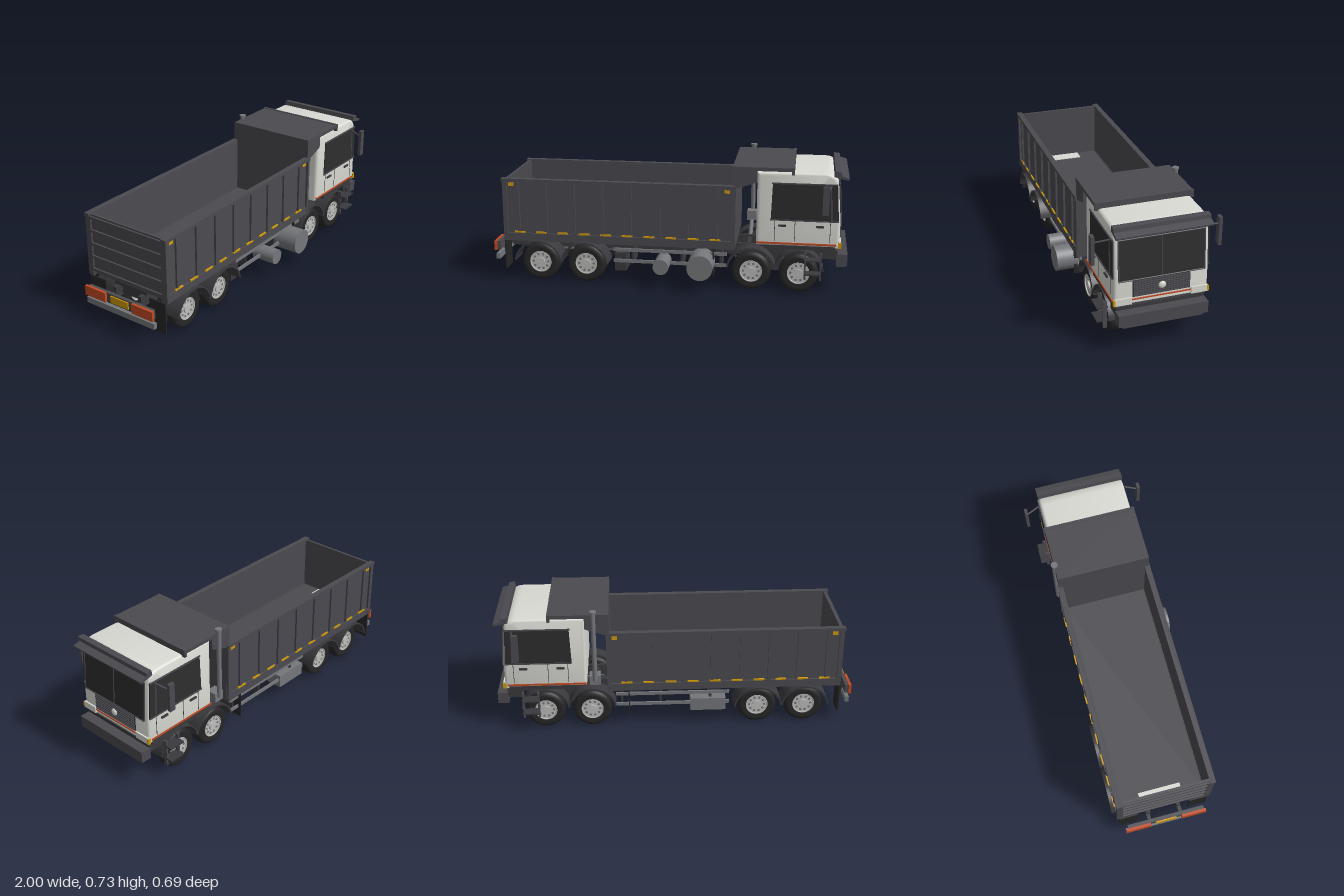
import * as THREE from 'three';
import { toCreasedNormals } from 'three/addons/utils/BufferGeometryUtils.js';

const material = (name, color, side = THREE.FrontSide) => {
  const m = new THREE.MeshStandardMaterial({ color, side });
  m.name = name;
  return m;
};

export function createModel() {
  const truck = new THREE.Group();
  truck.name = 'dumpTruck';
  const body = material('bodyGrey', 0x4b4a50);
  const chassis = material('chassisDark', 0x3a3a3e);
  const glass = material('darkGlass', 0x2e2e2f);
  const cream = material('cabCream', 0xdadad4);
  const steel = material('steel', 0x74767a);
  const rubber = material('rubber', 0x262627);
  const rimGrey = material('rimGrey', 0xbdbdbb);
  const amber = material('amber', 0xd29a08);
  const red = material('orangeRed', 0xc24a22);

  let parent = truck;
  const add = (name, geo, mat, x = 0, y = 0, z = 0) => {
    const m = new THREE.Mesh(geo, mat);
    m.name = name;
    m.position.set(x, y, z);
    parent.add(m);
    return m;
  };
  const box = (name, mat, x0, x1, y0, y1, z0, z1) =>
    add(name, new THREE.BoxGeometry(x1 - x0, y1 - y0, Math.abs(z1 - z0)), mat, (x0 + x1) / 2, (y0 + y1) / 2, (z0 + z1) / 2);
  // cylinder lying along z
  const cylZ = (name, mat, r, x, y, z0, z1, n = 24) =>
    add(name, new THREE.CylinderGeometry(r, r, Math.abs(z1 - z0), n).rotateX(Math.PI / 2), mat, x, y, (z0 + z1) / 2);
  const cylY = (name, mat, r, x, z, y0, y1) =>
    add(name, new THREE.CylinderGeometry(r, r, y1 - y0, 20), mat, x, (y0 + y1) / 2, z);
  // side profile (x, y) extruded across z
  const profile = (name, mat, pts, z0, z1) => {
    const shape = new THREE.Shape(pts.map(p => new THREE.Vector2(p[0], p[1])));
    return add(name, new THREE.ExtrudeGeometry(shape, { depth: z1 - z0, bevelEnabled: false }), mat, 0, 0, z0);
  };
  const rod = (name, mat, r, a, b) => {
    const path = new THREE.LineCurve3(new THREE.Vector3(...a), new THREE.Vector3(...b));
    return add(name, new THREE.TubeGeometry(path, 1, r, 8), mat);
  };
  const group = (name) => {
    parent = new THREE.Group();
    parent.name = name;
    truck.add(parent);
  };

  // Wheels
  const tyreGeo = new THREE.LatheGeometry([[0.06, -0.028], [0.085, -0.031], [0.098, -0.029], [0.106, -0.022], [0.109, -0.01],
    [0.109, 0.01], [0.106, 0.022], [0.098, 0.029], [0.085, 0.031], [0.06, 0.028]].map(p => new THREE.Vector2(...p)), 40).rotateX(Math.PI / 2);
  const wheel = (x, z, s) => {
    add('tyre', tyreGeo, rubber, x, 0.109, z);
    cylZ('rim', rimGrey, 0.061, x, 0.109, z - 0.022, z + 0.022, 32);
    add('rimEdge', new THREE.TorusGeometry(0.06, 0.004, 6, 32), rimGrey, x, 0.109, z + s * 0.026);
    cylZ('hub', rimGrey, 0.024, x, 0.109, z + s * 0.02, z + s * 0.031);
    for (let i = 0; i < 10; i++) {
      const a = i * Math.PI / 5;
      cylZ('rimHole', steel, 0.007, x + 0.043 * Math.cos(a), 0.109 + 0.043 * Math.sin(a), z + s * 0.02, z + s * 0.0235, 10);
    }
  };
  const arch = (x, z0, z1) => {
    const s = new THREE.Shape();
    s.absarc(0, 0, 0.138, 0.15, Math.PI - 0.15, false);
    s.absarc(0, 0, 0.129, Math.PI - 0.15, 0.15, true);
    const g = new THREE.ExtrudeGeometry(s, { depth: Math.abs(z1 - z0), bevelEnabled: false, curveSegments: 20 });
    add('fender', toCreasedNormals(g, 0.6), chassis, x, 0.109, Math.min(z0, z1));
  };
  group('runningGear');
  for (const x of [-0.727, -0.46, 0.475, 0.737]) {
    const rear = x < 0;
    for (const s of [1, -1]) {
      wheel(x, s * 0.205, s);
      if (rear) wheel(x, s * 0.13, -s);
      arch(x, s * 0.165, s * (rear ? 0.285 : 0.248));
      box('leafSpring', chassis, x - 0.1, x + 0.1, 0.125, 0.145, s * 0.07, s * 0.093);
    }
    cylZ('axle', steel, 0.016, x, 0.112, -0.18, 0.18);
    cylZ('axleHousing', steel, 0.036, x, 0.112, -0.042, 0.042);
  }

  // Frame
  group('frame');
  for (const s of [1, -1]) {
    box('frameRail', chassis, -0.93, 0.94, 0.16, 0.225, s * 0.075, s * 0.095);
    for (const y of [0.135, 0.2]) box('sideGuard', steel, -0.3, 0.34, y - 0.009, y + 0.009, s * 0.225, s * 0.235);
    for (const x of [-0.2, 0.08, 0.3]) box('guardPost', chassis, x, x + 0.014, 0.12, 0.225, s * 0.09, s * 0.226);
    box('mudFlap', rubber, -0.928, -0.92, 0.065, 0.24, s * 0.15, s * 0.255);
    box('midFlap', rubber, 0.263, 0.269, 0.07, 0.235, s * 0.16, s * 0.25);
    box('bumperBracket', chassis, -0.97, -0.9, 0.17, 0.19, s * 0.08, s * 0.1);
    // entry steps
    for (const x of [0.772, 0.856]) box('stepPost', body, x - 0.005, x + 0.005, 0.085, 0.24, s * 0.253, s * 0.273);
    for (const y of [0.127, 0.205]) box('step', chassis, 0.767, 0.86, y - 0.004, y + 0.004, s * 0.247, s * 0.307);
  }
  for (let x = -0.88; x < 0.9; x += 0.22) box('crossMember', chassis, x, x + 0.02, 0.17, 0.215, -0.08, 0.08);
  rod('driveShaft', steel, 0.014, [-0.7, 0.125, 0], [0.55, 0.15, 0]);
  box('engine', chassis, 0.55, 0.9, 0.15, 0.26, -0.07, 0.07);
  box('oilPan', chassis, 0.57, 0.68, 0.06, 0.15, -0.05, 0.05);
  cylZ('fuelTank', steel, 0.072, 0.2, 0.148, 0.19, 0.345, 32);
  cylZ('airTank', steel, 0.044, -0.02, 0.135, 0.18, 0.32, 28);
  box('toolBox', steel, -0.28, -0.08, 0.09, 0.165, -0.245, -0.15);
  box('batteryBox', chassis, -0.3, -0.235, 0.065, 0.17, 0.09, 0.2);
  // rear bumper and lights
  box('rearBar', body, -0.985, -0.965, 0.165, 0.215, -0.22, 0.22);
  box('rearLowerBar', steel, -0.99, -0.968, 0.112, 0.145, -0.23, 0.23);
  for (const s of [1, -1]) {
    box('tailLight', red, -1, -0.985, 0.163, 0.218, s * 0.09, s * 0.23);
    box('lowerBarHanger', chassis, -0.975, -0.965, 0.12, 0.19, s * 0.11, s * 0.13);
  }
  box('rearPlate', amber, -0.992, -0.985, 0.168, 0.208, -0.06, 0.06);
  // front bumper
  box('frontBumper', body, 0.94, 1, 0.165, 0.23, -0.238, 0.238);
  box('bumperLip', body, 0.945, 0.99, 0.15, 0.165, -0.212, 0.212);
  box('bumperMount', chassis, 0.86, 0.945, 0.2, 0.25, -0.235, 0.235);

  // Dump bed
  group('dumpBed');
  box('bedFloor', body, -0.91, 0.385, 0.255, 0.28, -0.25, 0.25);
  box('subFrame', chassis, -0.9, 0.37, 0.225, 0.256, -0.11, 0.11);
  box('floorPlate', cream, -0.895, -0.82, 0.28, 0.284, -0.12, 0.12);
  box('headBoard', body, 0.368, 0.386, 0.24, 0.62, -0.255, 0.255);
  box('tailGate', body, -0.915, -0.9, 0.255, 0.595, -0.25, 0.25);
  for (let i = 0; i < 5; i++) box('gateRib', body, -0.925, -0.914, 0.27 + i * 0.075, 0.285 + i * 0.075, -0.255, 0.255);
  for (const s of [1, -1]) {
    box('sideWall', body, -0.91, 0.385, 0.255, 0.59, s * 0.243, s * 0.256);
    box('topRail', body, -0.93, 0.385, 0.582, 0.6, s * 0.24, s * 0.271);
    box('bottomRail', body, -0.9, 0.38, 0.24, 0.285, s * 0.24, s * 0.266);
    box('gatePost', body, -0.925, -0.9, 0.24, 0.59, s * 0.235, s * 0.268);
    for (let i = 0; i < 8; i++) box('sideRib', body, -0.843 + i * 0.16, -0.829 + i * 0.16, 0.285, 0.583, s * 0.255, s * 0.267);
    box('frontPost', body, 0.367, 0.385, 0.24, 0.585, s * 0.25, s * 0.268);
    for (let i = 0; i < 10; i++) box('sideMarker', amber, -0.86 + i * 0.123, -0.8 + i * 0.123, 0.287, 0.296, s * 0.262, s * 0.27);
    for (const x of [-0.89, 0.325]) box('cornerMarker', amber, x, x + 0.03, 0.556, 0.574, s * 0.255, s * 0.261);
  }
  profile('cabGuard', body, [[0.368, 0.59], [0.4, 0.59], [0.5, 0.625], [0.5, 0.688], [0.7, 0.688], [0.7, 0.708], [0.368, 0.708]], -0.263, 0.263);
  box('guardFrontLip', body, 0.685, 0.7, 0.67, 0.711, -0.265, 0.265);

  // Cab shell with rounded roof and edges
  group('cab');
  const b = 0.018;
  const shell = new THREE.Shape();
  shell.moveTo(0.5 + b, 0.268 + b);
  shell.lineTo(0.953 - b, 0.268 + b);
  shell.lineTo(0.953 - b, 0.42);
  shell.lineTo(0.936 - b, 0.625);
  shell.quadraticCurveTo(0.932 - b, 0.68 - b, 0.86, 0.68 - b);
  shell.lineTo(0.5 + b, 0.68 - b);
  add('cabShell', toCreasedNormals(new THREE.ExtrudeGeometry(shell, {
    depth: 0.5 - 2 * b, bevelSize: b, bevelThickness: b, bevelSegments: 4, curveSegments: 8 }), 0.6), cream, 0, 0, -0.25 + b);

  // Windscreen and grille
  profile('windscreen', glass, [[0.93, 0.4], [0.959, 0.4], [0.958, 0.42], [0.943, 0.62], [0.92, 0.62]], -0.226, 0.226);
  rod('screenDivider', body, 0.003, [0.959, 0.405, 0], [0.944, 0.618, 0]);
  for (const s of [1, -1]) rod('screenFrame', body, 0.004, [0.958, 0.402, s * 0.226], [0.943, 0.62, s * 0.226]);
  for (const [x, y] of [[0.958, 0.4], [0.942, 0.62]]) rod('screenFrame', body, 0.004, [x, y, -0.228], [x, y, 0.228]);
  box('grille', glass, 0.948, 0.956, 0.303, 0.395, -0.152, 0.152);
  for (let i = 0; i < 8; i++) box('grilleBar', body, 0.954, 0.962, 0.306 + i * 0.0115, 0.312 + i * 0.0115, -0.148, 0.148);
  add('grilleBoss', new THREE.SphereGeometry(0.02, 20, 14).scale(0.5, 1, 1), cream, 0.962, 0.35, 0);
  box('frontStripe', red, 0.95, 0.957, 0.285, 0.292, -0.158, 0.158);
  // sun visor
  profile('sunVisor', body, [[0.91, 0.665], [0.985, 0.648], [0.99, 0.653], [0.99, 0.66], [0.95, 0.672], [0.948, 0.692], [0.915, 0.695]], -0.252, 0.252);

  for (const s of [1, -1]) {
    // side window, door details and stripe
    const za = Math.min(s * 0.245, s * 0.254), zb = Math.max(s * 0.245, s * 0.254);
    profile('sideWindow', glass, [[0.578, 0.42], [0.944, 0.42], [0.931, 0.618], [0.585, 0.622]], za, zb);
    box('windowSill', body, 0.575, 0.945, 0.414, 0.421, s * 0.247, s * 0.257);
    box('windowTop', body, 0.58, 0.932, 0.618, 0.625, s * 0.247, s * 0.256);
    rod('windowPillar', body, 0.004, [0.905, 0.42, s * 0.254], [0.895, 0.62, s * 0.254]);
    for (const x of [0.6, 0.71, 0.9]) box('doorSeam', chassis, x - 0.0015, x + 0.0015, 0.296, 0.415, s * 0.249, s * 0.2515);
    for (const x of [0.64, 0.845]) box('doorHandle', chassis, x - 0.022, x + 0.022, 0.381, 0.391, s * 0.249, s * 0.259);
    box('sideStripe', red, 0.502, 0.935, 0.28, 0.29, s * 0.246, s * 0.2535);
    box('cabSkirt', chassis, 0.6, 0.93, 0.25, 0.272, s * 0.17, s * 0.245);
    // headlamp and indicator
    box('headlamp', cream, 0.93, 0.962, 0.266, 0.303, s * 0.158, s * 0.246);
    box('indicator', amber, 0.945, 0.963, 0.266, 0.298, s * 0.244, s * 0.253);
    // mirror
    box('mirror', body, 0.853, 0.888, 0.475, 0.632, s * 0.327, s * 0.345);
    rod('mirrorArm', body, 0.005, [0.9, 0.612, s * 0.245], [0.872, 0.592, s * 0.33]);
  }

  // Exhaust behind the cab
  group('exhaust');
  cylY('stackPipe', steel, 0.013, 0.452, -0.265, 0.31, 0.725);
  cylY('stackCap', steel, 0.019, 0.452, -0.263, 0.72, 0.73);
  box('stackBox', steel, 0.422, 0.483, 0.28, 0.335, -0.262, -0.2);
  rod('exhaustPipe', steel, 0.012, [0.45, 0.29, -0.23], [0.45, 0.2, -0.08]);
  return truck;
}
